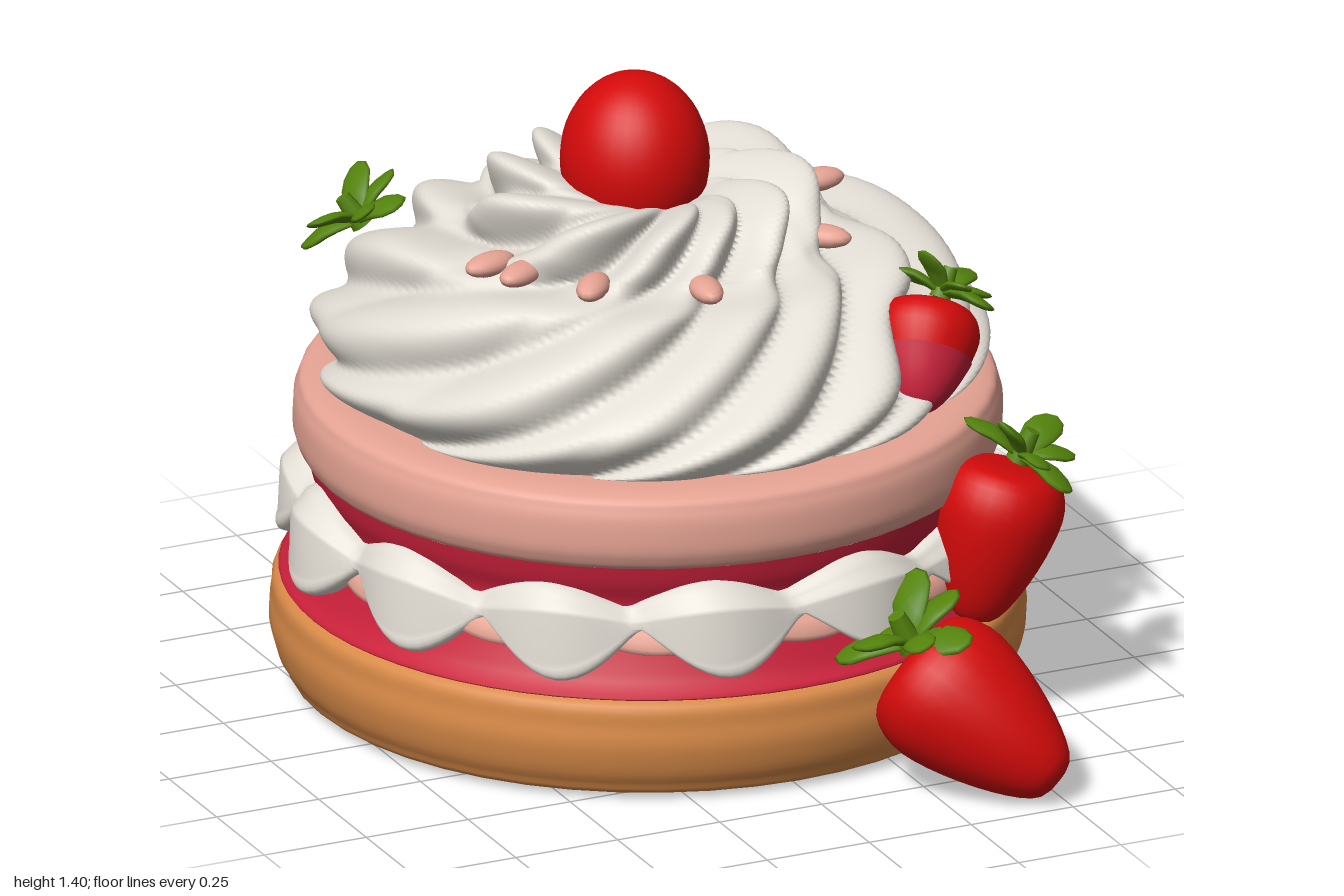
import * as THREE from 'three';
import { mergeVertices } from 'three/addons/utils/BufferGeometryUtils.js';

const mat = (name, color, side = THREE.FrontSide) => {
  const m = new THREE.MeshStandardMaterial({ color, side });
  m.name = name;
  return m;
};
const biscuitMat = mat('golden biscuit', 0xd88a48);
const jamMat = mat('jam', 0xc8203a, THREE.DoubleSide);
const pinkMat = mat('pink icing', 0xe6a494);
const creamMat = mat('cream', 0xe4dfd6, THREE.DoubleSide);
const redMat = mat('strawberry red', 0xd40a0a);
const leafMat = mat('leaf green', 0x54830c);

const add = (parent, name, geometry, material) => {
  const mesh = new THREE.Mesh(geometry, material);
  mesh.name = name;
  parent.add(mesh);
  return mesh;
};

// Turned solid from a smoothed profile; rule(r, y, angle, s) may reshape it
function turned(points, steps, segments, rule) {
  const curve = new THREE.SplineCurve(points.map(([r, y]) => new THREE.Vector2(r, y)));
  const profile = curve.getPoints(steps).map((p) => new THREE.Vector2(Math.max(p.x, 0), p.y));
  let g = new THREE.LatheGeometry(profile, segments);
  if (rule) {
    const pos = g.attributes.position;
    for (let i = 0; i < pos.count; i++) {
      const p = profile[i % profile.length];
      const a = (Math.floor(i / profile.length) / segments) * Math.PI * 2;
      const [r, y] = rule(p.x, p.y, a, (i % profile.length) / steps);
      pos.setXYZ(i, r * Math.sin(a), y, r * Math.cos(a));
    }
  }
  // Weld the seam so that the normals run smoothly round
  g.deleteAttribute('uv');
  g.deleteAttribute('normal');
  g = mergeVertices(g, 1e-5);
  g.computeVertexNormals();
  return g;
}

// One broad, curled leaf pointing along +x
function leafGeometry() {
  const g = new THREE.SphereGeometry(1, 12, 8);
  const pos = g.attributes.position;
  for (let i = 0; i < pos.count; i++) {
    const x = pos.getX(i), t = (x + 1) / 2;
    pos.setXYZ(i, t * 0.15, pos.getY(i) * 0.013 + 0.018 * Math.sin(t * 4) + 0.045 * t * t,
      pos.getZ(i) * 0.04 * (0.8 + 0.4 * t));
  }
  g.computeVertexNormals();
  return g;
}

const berryProfile = [[0, -1], [0.34, -0.965], [0.64, -0.77], [0.9, -0.48], [1, -0.22], [0.82, -0.03], [0.4, 0.02], [0, 0.02]];

// Strawberry from `top` narrowing to `tip`, with a leafy cap at capAt facing capDir
function strawberry(name, top, tip, radius, capAt, capDir, capSize) {
  const group = new THREE.Group();
  group.name = name;
  const up = new THREE.Vector3(0, 1, 0);
  const axis = new THREE.Vector3(...top).sub(new THREE.Vector3(...tip));
  const length = axis.length();
  const fruit = new THREE.Group();
  fruit.name = 'fruit';
  fruit.position.set(...top);
  fruit.quaternion.setFromUnitVectors(up, axis.normalize());
  fruit.scale.set(radius, length, radius);
  add(fruit, 'berry', turned(berryProfile, 24, 28), redMat);
  const cap = new THREE.Group();
  cap.name = 'leafyCap';
  cap.position.set(...capAt);
  cap.quaternion.setFromUnitVectors(up, new THREE.Vector3(...capDir).normalize());
  cap.scale.setScalar(capSize);
  group.add(fruit, cap);
  const leaf = leafGeometry();
  for (let i = 0; i < 7; i++) {
    const m = add(cap, 'leaf', leaf, leafMat);
    m.rotation.set(0, (i / 7) * Math.PI * 2 + 0.25 * Math.sin(i * 4), 0.1 + 0.3 * Math.sin(i * 1.9));
    m.scale.setScalar(0.92 + 0.15 * Math.sin(i * 2.3));
  }
  add(cap, 'stem', new THREE.CylinderGeometry(0.018, 0.028, 0.08, 8), leafMat).position.y = 0.03;
  return group;
}

export function createModel() {
  const root = new THREE.Group();
  root.name = 'strawberryCreamCake';
  const cake = new THREE.Group();
  cake.name = 'cake';
  cake.position.z = -0.163;
  root.add(cake);

  // Biscuit base and pink upper layer
  add(cake, 'biscuitBase', turned([[0, 0], [0.4, 0], [0.75, 0.004], [0.815, 0.045], [0.841, 0.12], [0.839, 0.18], [0.82, 0.238], [0.7, 0.24], [0, 0.24]], 48, 48), biscuitMat);
  add(cake, 'pinkLayer', turned([[0, 0.528], [0.6, 0.528], [0.745, 0.53], [0.783, 0.565], [0.79, 0.62], [0.782, 0.675], [0.75, 0.708], [0.6, 0.715], [0, 0.715]], 48, 48), pinkMat);

  // Jam filling, pinched at the waist
  add(cake, 'jamFilling', turned([[0.7, 0.24], [0.818, 0.243], [0.79, 0.275], [0.75, 0.36], [0.73, 0.43], [0.75, 0.49], [0.76, 0.535]], 24, 64), jamMat);

  // Scalloped filling: cream lobes that hang down and outward, pink streaks in between
  const creamLobes = (r, y, a, s) => {
    const p = Math.abs(Math.cos(6.5 * (a + 0.23) + 0.6 * (s - 0.5))) ** 1.15;
    const wobble = 0.01 * Math.sin(3 * a + 1);
    return [r + 0.085 * p * (1 - 0.85 * s) + wobble, y + wobble + (s < 0.5 ? -0.14 * p * (1 - s) : 0.07 * p * s)];
  };
  add(cake, 'creamFrill', turned([[0.66, 0.42], [0.735, 0.4], [0.765, 0.395], [0.768, 0.408], [0.752, 0.425], [0.733, 0.437], [0.66, 0.445]], 20, 208, creamLobes), creamMat);
  const pinkLobes = (r, y, a) => {
    const p = Math.abs(Math.cos(6.5 * (a + 0.4)));
    return [r + 0.03 * (p - 0.7), y - 0.03 * (p - 0.5)];
  };
  add(cake, 'pinkFrill', turned([[0.66, 0.36], [0.752, 0.345], [0.768, 0.36], [0.745, 0.4], [0.66, 0.42]], 10, 208, pinkLobes), pinkMat);

  // Whipped cream: stepped dome with sweeping puffs, dented where a berry sits
  const swirl = (r, y, a, s) => {
    const tier = s > 0.56 ? 1 : 0;
    const puff = Math.sqrt(Math.sin(5.5 * (a - 3.1 * s + 0.2 * Math.sin(2 * a))) ** 2 + 0.01);
    const fine = Math.abs(Math.sin(4.5 * (a - 1.6 * s) + 1));
    const amp = Math.min(1, r / 0.3) * (s < 0.06 ? 0.4 : 1);
    const push = amp * (0.075 * (puff - 0.6) + 0.03 * (fine - 0.6));
    const dent = 0.09 * Math.exp(-(((a - 0.68) / 0.18) ** 2) - ((y - 0.89) / 0.09) ** 2);
    return [Math.max(0, r + push - dent), Math.max(0.7, y + push * (tier ? 0.6 : 0.35))];
  };
  add(cake, 'whippedCream', turned([[0.58, 0.705], [0.68, 0.715], [0.722, 0.765], [0.722, 0.83], [0.672, 0.905], [0.605, 0.975], [0.525, 1.03],
    [0.41, 1.045], [0.365, 1.09], [0.33, 1.155], [0.26, 1.175], [0.17, 1.16], [0.08, 1.12], [0, 1.11]], 84, 220, swirl), creamMat);

  // Berry crowning the cream
  const crown = add(root, 'topBerry', new THREE.SphereGeometry(1, 32, 24), redMat);
  crown.scale.set(0.166, 0.2, 0.172);
  crown.position.set(-0.01, 1.2, -0.21);

  // Pink sprinkles lying outward on the shoulder of the cream
  const bean = new THREE.SphereGeometry(1, 14, 10);
  [[0.08, -0.67], [0.25, -0.55], [0.44, -0.22], [0.31, 0.09], [-0.06, 0.27], [-0.28, 0.15], [-0.39, 0.01], [-0.43, -0.07]].forEach(([x, z]) => {
    const m = add(root, 'sprinkle', bean, pinkMat);
    m.scale.set(0.036, 0.026, 0.068);
    m.position.set(x, 1.068, z);
    m.rotation.y = Math.atan2(x, z + 0.2);
  });

  // Strawberries: on the plate, against the side, and two set in the cream
  const inCream = strawberry('creamStrawberry', [0.475, 0.94, 0.295], [0.38, 0.765, 0.425], 0.122, [0.51, 0.965, 0.285], [0.45, 0.8, -0.2], 0.9);
  root.add(
    strawberry('frontStrawberry', [0.245, 0.28, 0.7], [0.48, 0.05, 0.965], 0.172, [0.235, 0.33, 0.715], [-0.4, 0.85, -0.05], 1.15),
    strawberry('sideStrawberry', [0.59, 0.605, 0.47], [0.495, 0.26, 0.48], 0.145, [0.61, 0.63, 0.48], [0.4, 0.85, 0.15], 0.98),
    inCream,
    strawberry('backStrawberry', [-0.465, 0.93, -0.61], [-0.38, 0.81, -0.53], 0.06, [-0.485, 0.975, -0.635], [-0.5, 0.8, -0.3], 0.98),
  );
  // Jam glaze over the lower half of the berry in the cream
  add(inCream.getObjectByName('fruit'), 'jamGlaze', turned(berryProfile.slice(0, 4), 12, 28), jamMat).scale.setScalar(1.02);
  return root;
}
